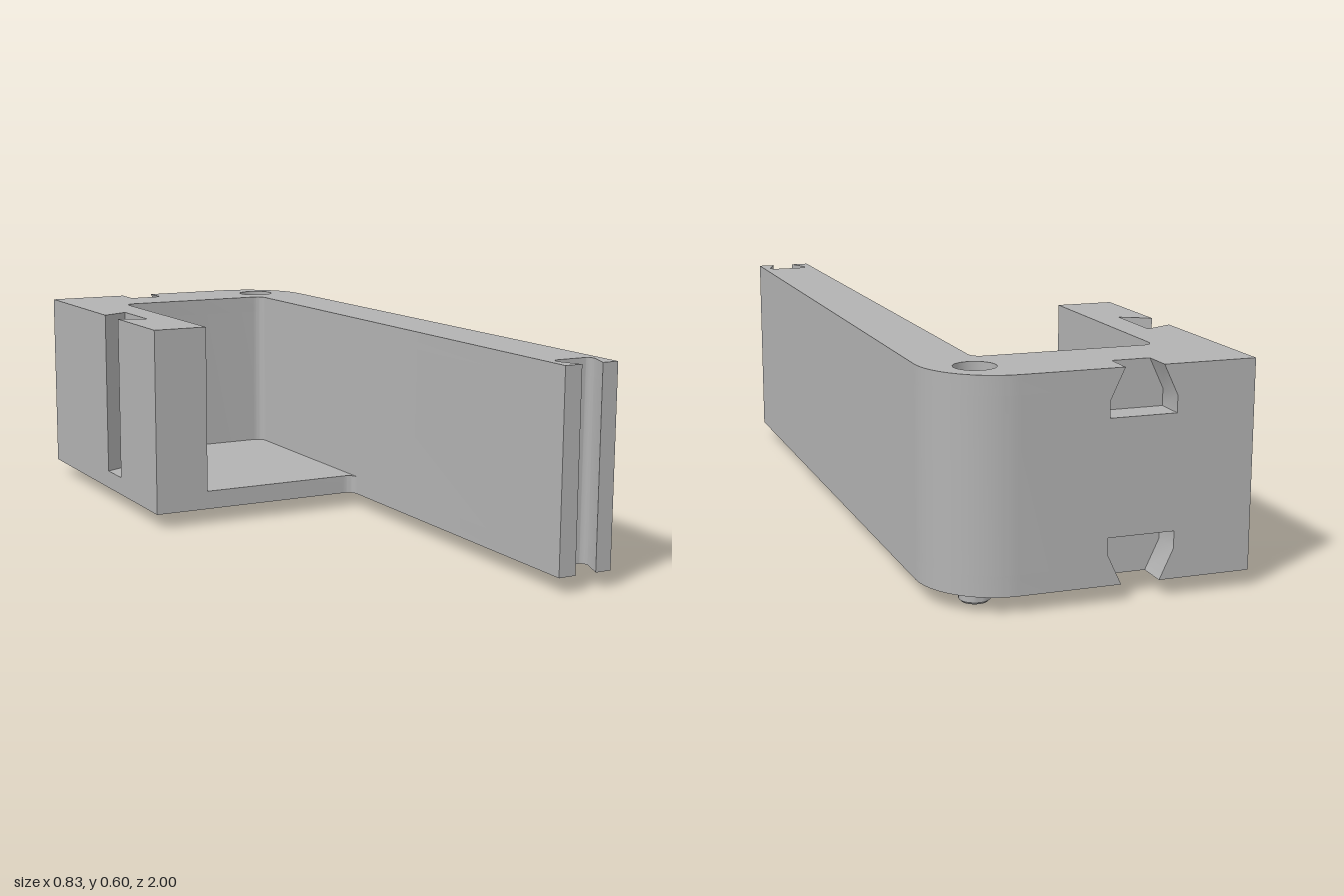
import * as THREE from 'three';
import { toCreasedNormals } from 'three/addons/utils/BufferGeometryUtils.js';

const BOTTOM = 0.045, FLOOR = 0.1, TOP = 0.6, RECESS = 0.55;
const HOLE = { x: 0.282, z: -0.867, r: 0.055 };
const NOTCH = { x: -0.112, half: 0.095, depth: 0.085 };

// Plan outlines use (x, -z); withCavity gives the U-shaped wall, otherwise the solid floor
function planShape(withCavity) {
  const s = new THREE.Shape();
  const { x, half, depth } = NOTCH;
  s.moveTo(-0.415, 1);
  // pocket for the back notch block
  s.lineTo(x - half, 1);
  s.lineTo(x - half, 1 - depth);
  s.lineTo(x + half, 1 - depth);
  s.lineTo(x + half, 1);
  // rounded back corner and long arm
  s.lineTo(0.21, 1);
  s.absarc(0.21, 0.795, 0.205, Math.PI / 2, 0, true);
  s.lineTo(0.415, -1);
  // dovetail slot in the arm end
  s.lineTo(0.367, -1);
  s.lineTo(0.392, -0.935);
  s.quadraticCurveTo(0.394, -0.91, 0.375, -0.91);
  s.lineTo(0.292, -0.91);
  s.quadraticCurveTo(0.273, -0.91, 0.275, -0.935);
  s.lineTo(0.302, -1);
  s.lineTo(0.25, -1);
  if (withCavity) {
    s.lineTo(0.25, 0.72);
    s.quadraticCurveTo(0.25, 0.755, 0.215, 0.755);
    s.lineTo(-0.215, 0.755);
    s.quadraticCurveTo(-0.25, 0.755, -0.25, 0.72);
    s.lineTo(-0.25, 0.1);
    s.lineTo(-0.415, 0.1);
    // side dovetail slot
    s.lineTo(-0.415, 0.395);
    s.lineTo(-0.333, 0.35);
    s.lineTo(-0.333, 0.545);
    s.lineTo(-0.415, 0.505);
  } else {
    s.lineTo(0.25, 0.065);
    s.quadraticCurveTo(0.25, 0.1, 0.215, 0.1);
    s.lineTo(-0.415, 0.1);
  }
  s.closePath();
  return s;
}

function extrude(shape, depth) {
  const g = new THREE.ExtrudeGeometry(shape, { depth, bevelEnabled: false, curveSegments: 16 });
  return toCreasedNormals(g, 0.5);
}

export function createModel() {
  const model = new THREE.Group();
  const grey = new THREE.MeshStandardMaterial({ color: 0xb3b3b3 });
  grey.name = 'grey';

  function add(name, geometry) {
    const mesh = new THREE.Mesh(geometry, grey);
    mesh.name = name;
    model.add(mesh);
    return mesh;
  }
  function addLayer(name, shape, y0, y1) {
    add(name, extrude(shape, y1 - y0).rotateX(-Math.PI / 2)).position.y = y0;
  }

  addLayer('floor', planShape(false), BOTTOM, FLOOR);
  addLayer('walls', planShape(true), FLOOR, RECESS);

  // top layer of the walls, pierced by the round socket
  const rim = planShape(true);
  rim.holes.push(new THREE.Path().absarc(HOLE.x, -HOLE.z, HOLE.r, 0, Math.PI * 2));
  addLayer('socketRim', rim, RECESS, TOP);

  // back block with a dovetail notch in its top and bottom edges
  const { x, half, depth } = NOTCH;
  const block = new THREE.Shape([
    [-half, BOTTOM], [-0.052, BOTTOM], [-0.09, 0.125], [-0.09, 0.17],
    [0.09, 0.17], [0.09, 0.125], [0.052, BOTTOM], [half, BOTTOM],
    [half, TOP], [0.052, TOP], [0.09, 0.52], [0.09, 0.475],
    [-0.09, 0.475], [-0.09, 0.52], [-0.052, TOP], [-half, TOP],
  ].map(([px, py]) => new THREE.Vector2(px, py)));
  add('backNotchBlock', extrude(block, depth)).position.set(x, 0, -1);

  // locating peg with a chamfered tip
  const profile = [[0, 0], [0.035, 0], [0.041, 0.006], [0.041, BOTTOM]]
    .map(([px, py]) => new THREE.Vector2(px, py));
  const peg = toCreasedNormals(new THREE.LatheGeometry(profile, 32), 0.5);
  add('peg', peg).position.set(HOLE.x, 0, HOLE.z);

  return model;
}
